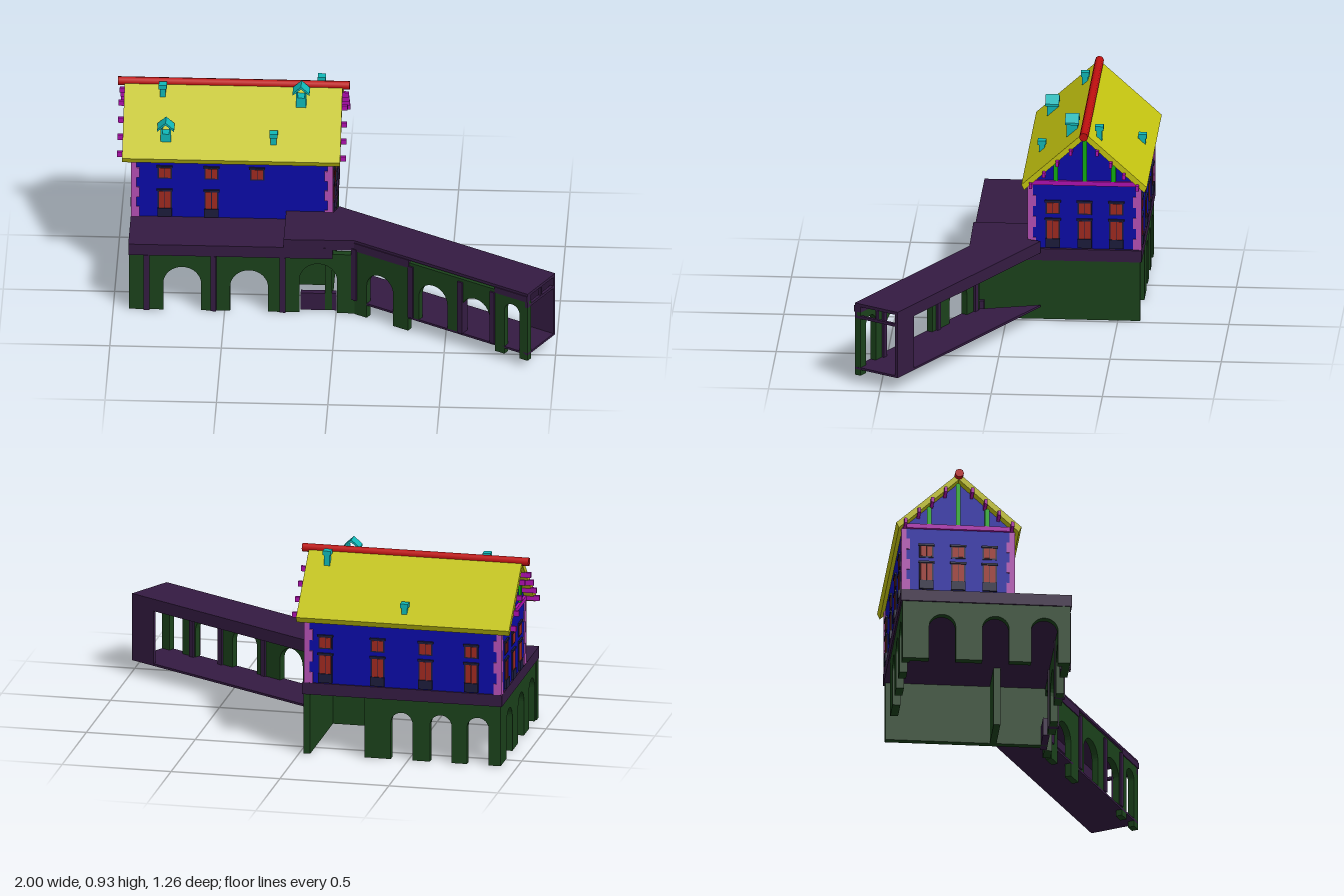
import * as THREE from 'three';

const mat = (c) => new THREE.MeshStandardMaterial({ color: c, side: THREE.DoubleSide });
const M = {
  roof: mat(0xc4c410), ridge: mat(0xc01010), wall: mat(0x0b0ba8), stone: mat(0x1b421b),
  deck: mat(0x341b42), beam: mat(0xb010b0), quoin: mat(0xb550b5), post: mat(0x10b010),
  chimney: mat(0x10b8b8), pane: mat(0xa02a20), frame: mat(0x1c1c3c),
};

export function createModel() {
  const root = new THREE.Group();

  const add = (name, geo, m, parent = root) => {
    const mesh = new THREE.Mesh(geo, m);
    mesh.name = name;
    parent.add(mesh);
    return mesh;
  };
  // Box from its extents
  const box = (name, m, x0, x1, y0, y1, z0, z1, parent = root) => {
    const b = add(name, new THREE.BoxGeometry(x1 - x0, y1 - y0, z1 - z0), m, parent);
    b.position.set((x0 + x1) / 2, (y0 + y1) / 2, (z0 + z1) / 2);
    return b;
  };
  const poly = (pts) => new THREE.Shape(pts.map(([x, y]) => new THREE.Vector2(x, y)));
  const extrude = (shape, depth) =>
    new THREE.ExtrudeGeometry(shape, { depth, bevelEnabled: false, curveSegments: 8 });
  // Horizontal slab from a plan outline of [x, z] points
  const slab = (name, m, plan, y0, y1) => {
    const g = extrude(poly(plan.map(([x, z]) => [x, -z])), y1 - y0);
    add(name, g.rotateX(-Math.PI / 2).translate(0, y0, 0), m);
  };
  // Profile of [-z, y] points swept along x
  const sweepX = (name, m, pts, x0, x1) =>
    add(name, extrude(poly(pts), x1 - x0).rotateY(Math.PI / 2).translate(x0, 0, 0), m);
  // Group whose local x runs along a ground line and whose local +z faces outward
  const facade = (name, [x0, z0], [x1, z1]) => {
    const g = new THREE.Group();
    g.name = name;
    g.position.set(x0, 0, z0);
    g.rotation.y = Math.atan2(z0 - z1, x1 - x0);
    root.add(g);
    return g;
  };
  // Wall with round arches cut up from its bottom: arches are [centre, width, top]
  const arcade = (g, u0, u1, y0, y1, arches, t = 0.035) => {
    const s = new THREE.Shape();
    s.moveTo(u0, y1);
    s.lineTo(u0, y0);
    for (const [c, w, top] of arches) {
      s.lineTo(c - w / 2, y0);
      s.lineTo(c - w / 2, top - w / 2);
      s.absarc(c, top - w / 2, w / 2, Math.PI, 0, true);
      s.lineTo(c + w / 2, y0);
    }
    s.lineTo(u1, y0);
    s.lineTo(u1, y1);
    s.closePath();
    add('arcadeWall', extrude(s, t).translate(0, 0, -t), M.stone, g);
  };
  const pilasters = (g, list, y0, y1, w) =>
    list.forEach((u) => box('pilaster', M.deck, u - w / 2, u + w / 2, y0, y1, -0.04, 0.008, g));

  // Ground storey: arcades, closed walls and terrace slab
  const front = facade('frontArcade', [-0.93, 0.155], [0.083, 0.155]);
  arcade(front, 0, 1.013, 0, 0.3, [[0.24, 0.17, 0.22], [0.54, 0.17, 0.21], [0.85, 0.17, 0.25]]);
  pilasters(front, [0.08, 0.38, 0.69], 0, 0.28, 0.025);
  const left = facade('leftArcade', [-0.925, -0.6], [-0.925, 0.155]);
  arcade(left, 0, 0.755, 0, 0.29, [[0.18, 0.12, 0.22], [0.42, 0.12, 0.22], [0.64, 0.12, 0.22]]);
  const back = facade('backArcade', [-0.3, -0.6], [-0.925, -0.6]);
  arcade(back, 0, 0.625, 0, 0.29, [[0.17, 0.1, 0.22], [0.35, 0.1, 0.22], [0.52, 0.1, 0.22]]);
  box('rightWall', M.stone, -0.05, -0.02, 0, 0.29, -0.6, 0.13);
  box('innerWall', M.stone, -0.25, -0.03, 0, 0.29, -0.13, -0.1);
  box('lowWall', M.deck, -0.16, 0, 0, 0.085, 0.1, 0.13);
  box('terraceSlab', M.deck, -0.932, -0.015, 0.28, 0.335, -0.607, 0.162);

  // Covered passage, turning 30 degrees from the terrace
  const A = [0.083, 0.16], B = [0.88, 0.62], C = [0.995, 0.42], D = [0, -0.154];
  slab('passageRoof', M.deck, [[-0.235, -0.1], [-0.02, -0.1], D, C, B, A, [-0.235, 0.164]], 0.362, 0.376);
  slab('passageFloor', M.deck, [A, B, C, D], 0.063, 0.073);
  slab('cornerRoof', M.deck, [[-0.235, -0.1], [-0.02, -0.1], D, [0.2, -0.038], A, [-0.235, 0.164]], 0.325, 0.364);
  const pass = facade('passageFront', A, B);
  arcade(pass, 0, 0.285, 0, 0.335, [[0.135, 0.14, 0.235]], 0.03);
  arcade(pass, 0.285, 0.747, 0.073, 0.35, [[0.418, 0.15, 0.27], [0.643, 0.15, 0.27]], 0.03);
  arcade(pass, 0.747, 0.92, 0.035, 0.335, [[0.837, 0.08, 0.3]], 0.03);
  pilasters(pass, [0, 0.3, 0.563, 0.735], 0.073, 0.335, 0.025);
  box('frontFascia', M.deck, 0, 0.29, 0.325, 0.364, -0.03, 0.004, pass);
  box('frontFascia', M.deck, 0.747, 0.92, 0.335, 0.364, -0.03, 0.004, pass);
  const rear = facade('passageBack', C, D);
  box('backFascia', M.deck, 0, 1.149, 0.32, 0.364, -0.015, 0, rear);
  box('endWall', M.deck, 0, 0.13, 0.07, 0.33, -0.015, 0, rear);
  const end = facade('passageEnd', B, C);
  box('endBeam', M.deck, 0, 0.23, 0.305, 0.318, -0.015, 0, end);
  for (const u of [0.005, 0.115, 0.225])
    box('endStrut', M.deck, u - 0.005, u + 0.005, 0.315, 0.364, -0.015, 0, end);

  // House body with gables, and its roof
  sweepX('houseWalls', M.wall, [[0.1, 0.33], [0.6, 0.33], [0.6, 0.643], [0.35, 0.868], [0.1, 0.643]], -0.925, -0.03);
  sweepX('roof', M.roof, [[0.068, 0.645], [0.35, 0.9], [0.632, 0.645], [0.62, 0.62], [0.35, 0.868], [0.08, 0.62]], -0.97, 0.008);
  const ridge = add('ridgeCap', new THREE.CylinderGeometry(0.02, 0.02, 1.04, 8), M.ridge);
  ridge.rotation.z = Math.PI / 2;
  ridge.position.set(-0.48, 0.888, -0.35);

  // Purlin ends poking out below the roof on both gables
  for (const d of [0.06, 0.12, 0.18, 0.24])
    for (const s of [-1, 1]) {
      const z = -0.35 + s * d, y = 0.862 - d * 0.9;
      box('purlin', M.beam, -0.995, 0.033, y - 0.012, y + 0.012, z - 0.007, z + 0.007);
    }
  // Gable tie beams and posts
  for (const x of [-0.925, -0.03]) {
    box('tieBeam', M.beam, x - 0.012, x + 0.012, 0.637, 0.658, -0.615, -0.085);
    for (const [z, top] of [[-0.22, 0.745], [-0.35, 0.865], [-0.48, 0.745]])
      box('gablePost', M.post, x - 0.01, x + 0.01, 0.657, top, z - 0.01, z + 0.01);
    // Corner stones, alternating long and short
    for (const z of [-0.1, -0.6])
      for (let i = 0; i < 6; i++) {
        const w = i % 2 ? 0.018 : 0.032, y = 0.335 + i * 0.05;
        const sx = x < -0.5 ? 1 : -1, sz = z > -0.3 ? -1 : 1;
        const b = box('cornerStone', M.quoin, 0, w + 0.006, y, y + 0.05, 0, w + 0.006);
        b.position.x = x + sx * (w / 2 - 0.003);
        b.position.z = z + sz * (w / 2 - 0.003);
      }
  }

  // Windows: framed panes with a mullion, and a panel below the tall ones
  const window_ = (g, u, y0, y1, tall) => {
    box('windowFrame', M.frame, u - 0.032, u + 0.032, y0 - 0.006, y1 + 0.006, -0.005, 0.004, g);
    box('windowLintel', M.frame, u - 0.036, u + 0.036, y1 + 0.003, y1 + 0.012, 0, 0.009, g);
    for (const s of [-1, 1])
      box('windowPane', M.pane, u + s * 0.0135 - 0.012, u + s * 0.0135 + 0.012, y0, y1, 0, 0.006, g);
    if (tall) box('windowPanel', M.frame, u - 0.032, u + 0.032, 0.34, y0, 0, 0.011, g);
  };
  const sides = [
    ['frontWindows', [-0.925, -0.1], [-0.03, -0.1], [0.145, 0.355, 0.56], [0.145, 0.355]],
    ['backWindows', [-0.03, -0.6], [-0.925, -0.6], [0.09, 0.33, 0.55, 0.76], [0.09, 0.33, 0.55, 0.76]],
    ['rightWindows', [-0.03, -0.1], [-0.03, -0.6], [0.107, 0.25, 0.392], [0.107, 0.25, 0.392]],
    ['leftWindows', [-0.925, -0.6], [-0.925, -0.1], [0.107, 0.25, 0.392], [0.107, 0.25, 0.392]],
  ];
  for (const [name, a, b, upper, lower] of sides) {
    const g = facade(name, a, b);
    const y = name === 'frontWindows' ? 0.537 : 0.503;
    upper.forEach((u) => window_(g, u, y, y + 0.048, false));
    lower.forEach((u) => window_(g, u, 0.382, 0.466, true));
  }

  // Large chimneys with a small pitched cap
  for (const [x, z, y] of [[-0.777, -0.155, 0.8], [-0.175, -0.285, 0.927]]) {
    box('chimneyShaft', M.chimney, x - 0.023, x + 0.023, y - 0.11, y - 0.06, z - 0.025, z + 0.025);
    for (const s of [-1, 1])
      box('chimneyPier', M.chimney, x + s * 0.019 - 0.004, x + s * 0.019 + 0.004, y - 0.06, y - 0.035, z - 0.025, z + 0.025);
    const cap = poly([[-0.038, -0.045], [0, -0.012], [0.038, -0.045], [0.038, -0.035], [0, 0], [-0.038, -0.035]]);
    add('chimneyCap', extrude(cap, 0.062).translate(x, y, z - 0.031), M.chimney);
  }
  // Small chimneys
  for (const [x, z, y] of [[-0.797, -0.3, 0.905], [-0.293, -0.14, 0.755], [-0.48, -0.58, 0.73], [-0.088, -0.412, 0.902]]) {
    box('smallChimney', M.chimney, x - 0.013, x + 0.013, y - 0.075, y - 0.015, z - 0.013, z + 0.013);
    box('smallChimneyCap', M.chimney, x - 0.018, x + 0.018, y - 0.02, y, z - 0.019, z + 0.019);
  }
  return root;
}
